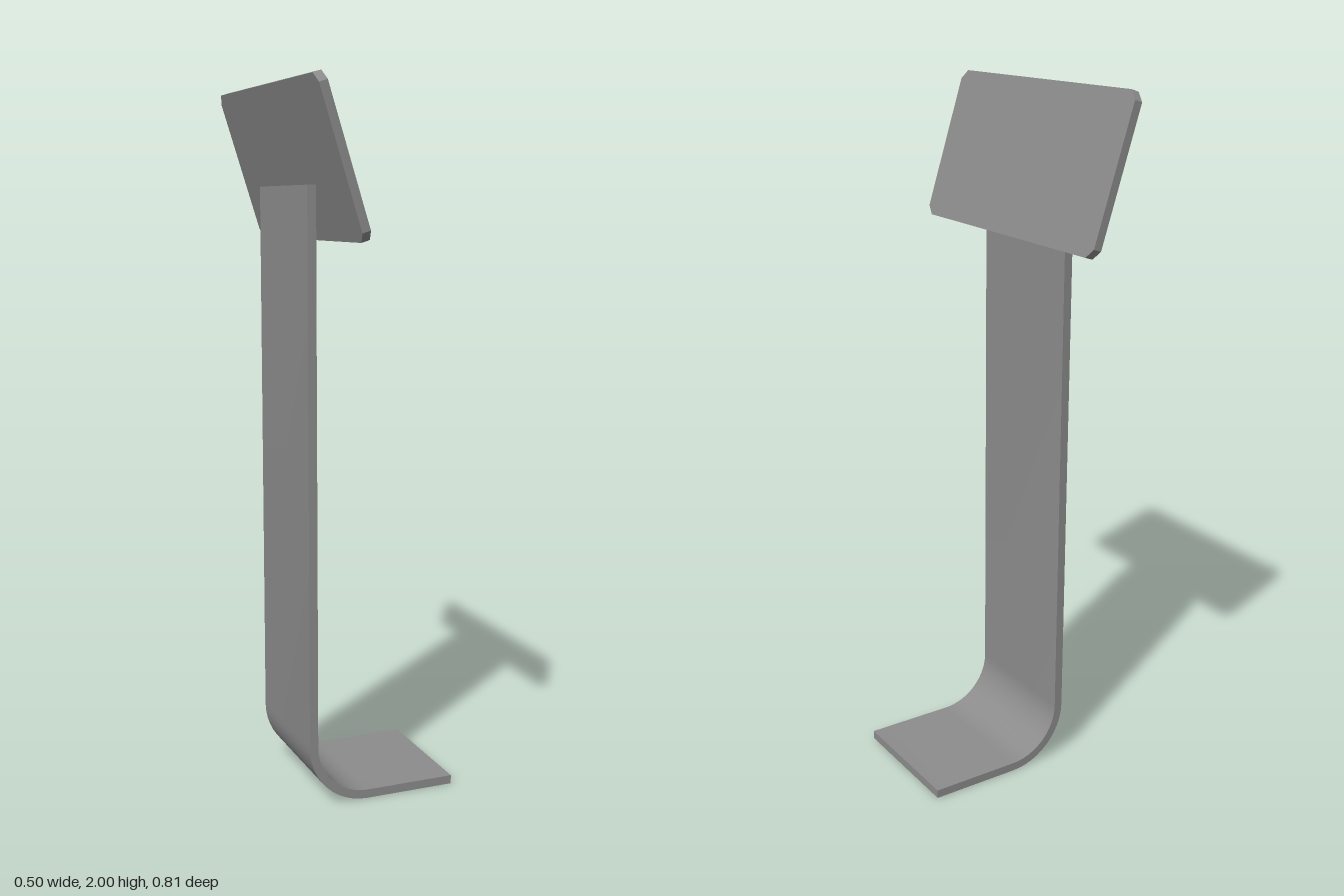
import * as THREE from 'three';
import { toCreasedNormals } from 'three/addons/utils/BufferGeometryUtils.js';

export function createModel() {
  const model = new THREE.Group();
  const metal = new THREE.MeshStandardMaterial({ color: 0x8c8c8c });
  metal.name = 'grey metal';

  // Extrude a shape along z, centred, keeping only sharp edges creased
  const plate = (name, shape, depth) => {
    const g = new THREE.ExtrudeGeometry(shape, { depth, bevelEnabled: false, curveSegments: 6 });
    g.translate(0, 0, -depth / 2);
    const mesh = new THREE.Mesh(toCreasedNormals(g, 0.6), metal);
    mesh.name = name;
    model.add(mesh);
    return mesh;
  };

  // Bent strap: foot, curved bend and upright in one side profile
  const t = 0.025, r = 0.175, back = -0.193, tip = 0.248, top = 1.727;
  const strap = new THREE.Shape();
  strap.moveTo(tip, 0);
  strap.lineTo(tip, t);
  strap.lineTo(back + r, t);
  strap.absarc(back + r, r, r - t, -Math.PI / 2, -Math.PI, true);
  strap.lineTo(back + t, top);
  strap.lineTo(back, top);
  strap.lineTo(back, r);
  strap.absarc(back + r, r, r, Math.PI, Math.PI * 1.5, false);
  plate('bentStrap', strap, 0.386);

  // Tilted panel with clipped corners
  const w = 0.405, h = 0.216, c = 0.025;
  const outline = new THREE.Shape([
    [-w + c, -h], [w - c, -h], [w, -h + c], [w, h - c],
    [w - c, h], [-w + c, h], [-w, h - c], [-w, -h + c],
  ].map(([x, y]) => new THREE.Vector2(x, y)));
  const panel = plate('tiltedPanel', outline, 0.024);
  panel.rotation.set(0, Math.PI / 2, THREE.MathUtils.degToRad(17.5), 'ZYX');
  panel.position.set(-0.171, 1.79, 0);

  return model;
}
